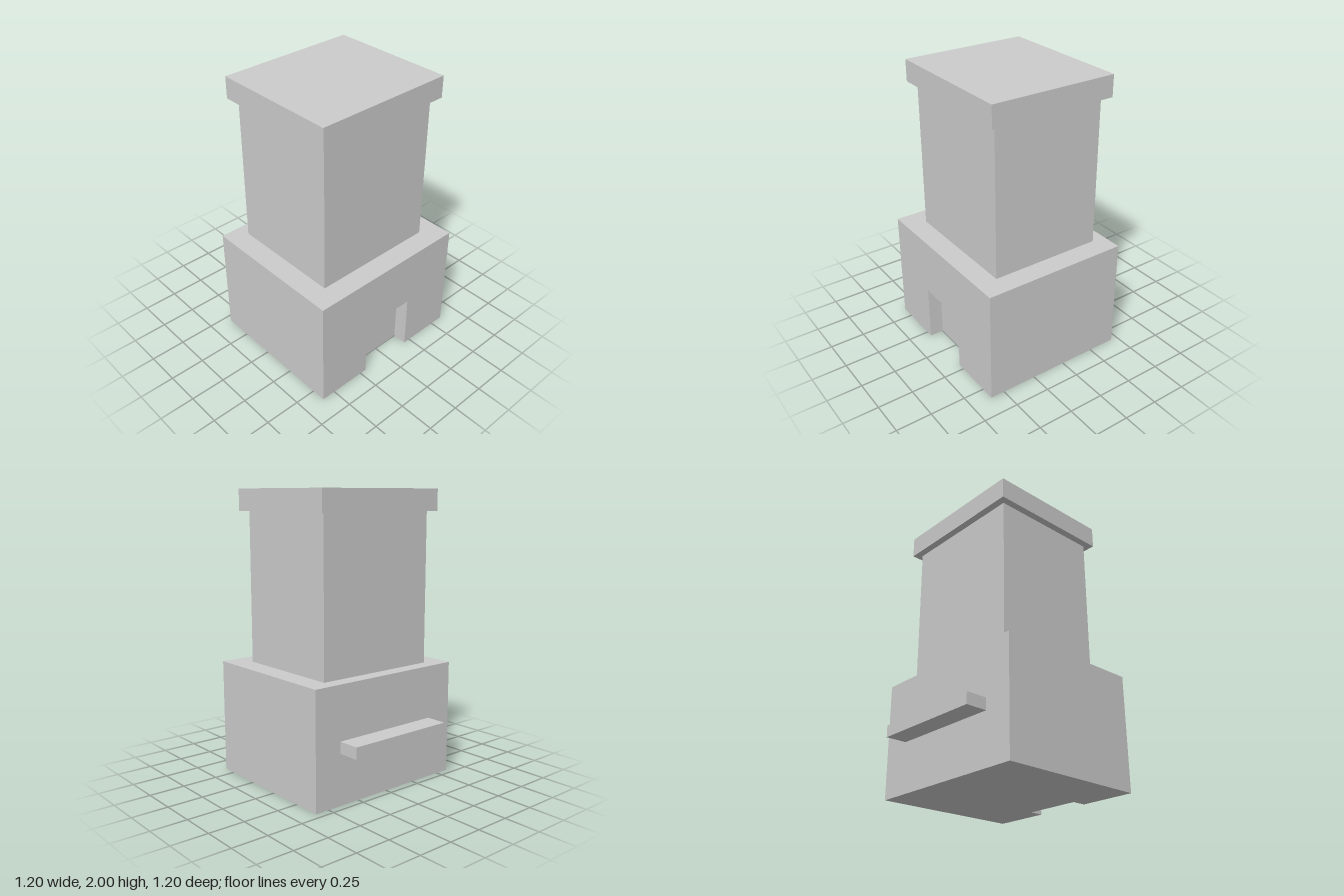
import * as THREE from 'three';

const material = new THREE.MeshStandardMaterial({ color: 0xcccccc, flatShading: true });

export function createModel() {
  const model = new THREE.Group();
  model.name = 'fireplace';

  const add = (name, geometry) => {
    const mesh = new THREE.Mesh(geometry, material);
    mesh.name = name;
    model.add(mesh);
    return mesh;
  };

  // Box centred on x, given its width and its y and z ranges
  const block = (name, width, y0, y1, z0, z1) =>
    add(name, new THREE.BoxGeometry(width, y1 - y0, z1 - z0))
      .position.set(0, (y0 + y1) / 2, (z0 + z1) / 2);

  // Base: solid body, with a front wall notched to form the shallow hearth opening
  const openingDepth = 0.1;
  block('baseBody', 1.2, 0, 0.8, -0.45, 0.6 - openingDepth);

  const outline = [
    [-0.6, 0], [-0.2, 0], [-0.2, 0.4], [0.2, 0.4],
    [0.2, 0], [0.6, 0], [0.6, 0.8], [-0.6, 0.8],
  ];
  const wall = new THREE.Shape(outline.map(([x, y]) => new THREE.Vector2(x, y)));
  add('hearthWall', new THREE.ExtrudeGeometry(wall, { depth: openingDepth, bevelEnabled: false }))
    .position.z = 0.6 - openingDepth;

  // Chimney column and its overhanging cap
  block('chimney', 0.9, 0.8, 1.85, -0.35, 0.45);
  block('chimneyCap', 1, 1.85, 2, -0.4, 0.5);

  // Ledge on the back of the base
  block('backShelf', 0.8, 0.35, 0.43, -0.6, -0.45);

  return model;
}
